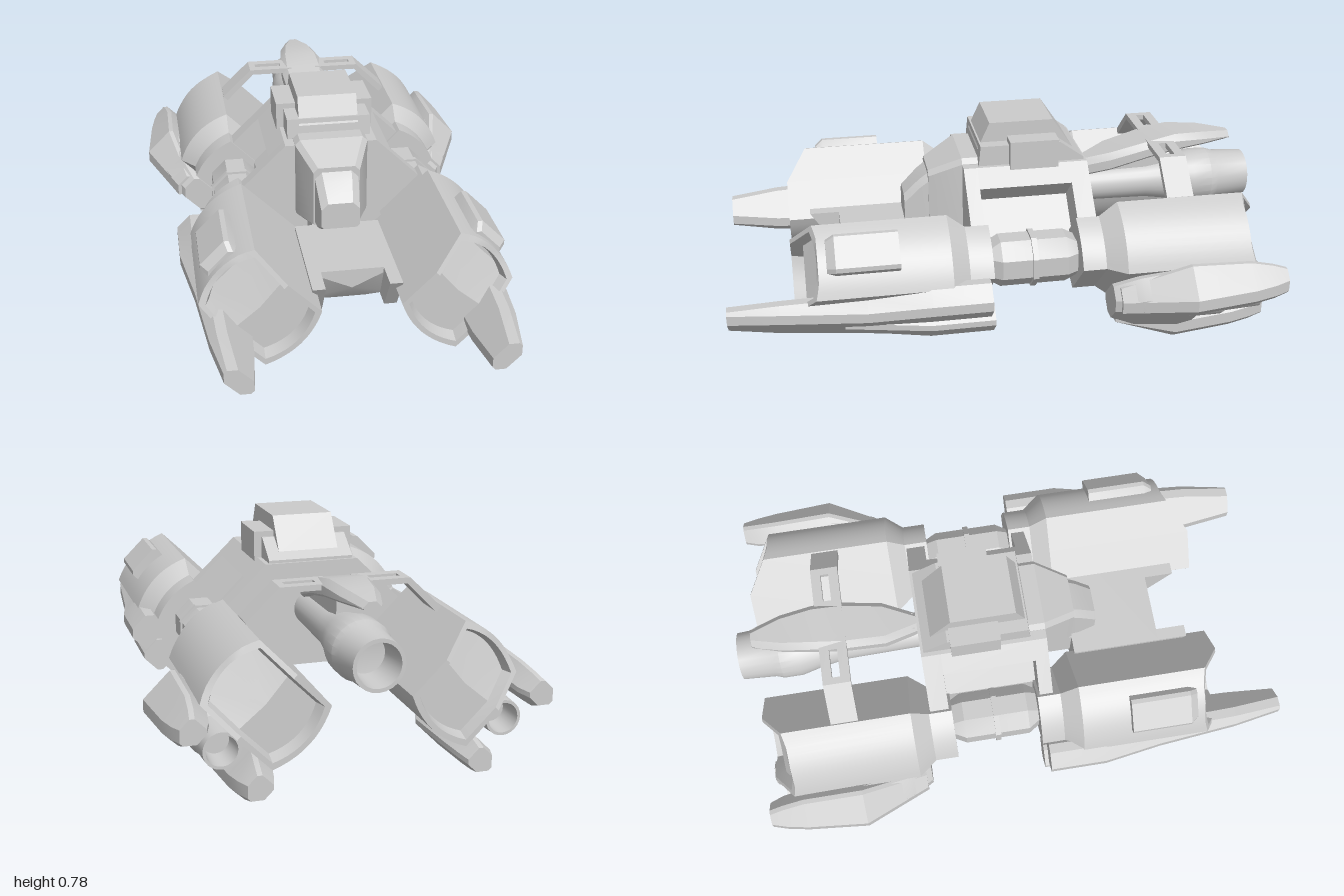
import * as THREE from 'three';
import { toCreasedNormals } from 'three/addons/utils/BufferGeometryUtils.js';

const material = new THREE.MeshStandardMaterial({ color: 0xcccccc, side: THREE.DoubleSide });

// Skin a list of rings (each a counter-clockwise loop of [x, y, z]) and cap both ends
function loft(rings) {
  if (rings[0][0][2] > rings[rings.length - 1][0][2]) rings = [...rings].reverse();
  const n = rings[0].length, pos = [], index = [];
  rings.forEach(r => r.forEach(p => pos.push(...p)));
  for (let r = 0; r < rings.length - 1; r++) {
    for (let i = 0; i < n; i++) {
      const j = (i + 1) % n, a = r * n, b = a + n;
      index.push(a + i, a + j, b + j, a + i, b + j, b + i);
    }
  }
  [0, rings.length - 1].forEach((r, end) => {
    const c = pos.length / 3;
    const mid = k => {
      const a = rings[r].map(p => p[k]);
      return (Math.min(...a) + Math.max(...a)) / 2;
    };
    const zs = rings[r].map(p => p[2]);
    pos.push(mid(0), mid(1), end ? Math.max(...zs) : Math.min(...zs));
    for (let i = 0; i < n; i++) {
      const a = r * n + i, b = r * n + (i + 1) % n;
      index.push(c, end ? a : b, end ? b : a);
    }
  });
  const g = new THREE.BufferGeometry();
  g.setAttribute('position', new THREE.Float32BufferAttribute(pos, 3));
  g.setIndex(index);
  return g;
}

// Rectangle with cut corners: cl at the low side, ch at the high side
function section([z, x0, x1, y0, y1], cl, ch = cl) {
  return [[x0 + cl, y0, z], [x1 - cl, y0, z], [x1, y0 + cl, z], [x1, y1 - ch, z],
    [x1 - ch, y1, z], [x0 + ch, y1, z], [x0, y1 - ch, z], [x0, y0 + cl, z]];
}
const sections = (list, cl, ch) => loft(list.map(s => section(s, cl, ch)));

// Outline extruded between two z positions
function extrude(points, z0, z1) {
  const shape = new THREE.Shape(points.map(p => new THREE.Vector2(...p)));
  return new THREE.ExtrudeGeometry(shape, { depth: z1 - z0, bevelEnabled: false }).translate(0, 0, z0);
}
const box = (x0, x1, y0, y1, z0, z1) => new THREE.BoxGeometry(x1 - x0, y1 - y0, z1 - z0)
  .translate((x0 + x1) / 2, (y0 + y1) / 2, (z0 + z1) / 2);
// Side profile [z, y] extruded across the width
const across = (profile, x0, x1) => extrude(profile, -x1, -x0).rotateY(-Math.PI / 2);
// Turned part along the z axis, profile given as [radius, z]
const turned = (profile, x, y, sides = 24) => new THREE.LatheGeometry(
  profile.map(([r, z]) => new THREE.Vector2(r, -z)), sides).rotateX(-Math.PI / 2).translate(x, y, 0);

// Pod outline: two bowed sides and two flat sides
const U = 0.475;
function podRing(z, hu, hv, bow, slant) {
  const pts = [], n = 10;
  for (const s of [1, -1]) {
    for (let i = 0; i <= n; i++) {
      const t = (2 * i / n - 1) * s;
      pts.push([U + s * (hu + bow * (1 - t * t)), hv * t]);
    }
    pts.push([U + 0.01, s * hv]);
  }
  return pts.map(([u, v]) => [u, v,
    z - (slant ? 0.09 * THREE.MathUtils.clamp((u - U - 0.01) / 0.16, 0, 1) : 0)]);
}

export function createModel() {
  const root = new THREE.Group();
  const add = (name, geo) => {
    const mesh = new THREE.Mesh(toCreasedNormals(geo, 0.4), material);
    mesh.name = name;
    root.add(mesh);
  };
  const addPair = (name, geo) => {
    add(name + 'Left', geo);
    const flipped = (geo.index ? geo.toNonIndexed() : geo.clone()).scale(-1, 1, 1);
    const order = [];
    for (let i = 0; i < flipped.attributes.position.count; i += 3) order.push(i, i + 2, i + 1);
    flipped.setIndex(order);
    add(name + 'Right', flipped);
  };
  // Side parts are drawn upright, then tilted 45 degrees about the long axis
  const addTilted = (name, geo) => addPair(name, geo.rotateZ(Math.PI / 4));

  // Front and rear pods share one shape, mirrored about z = -0.09
  const podRings = [
    podRing(0.07, 0.11, 0.1, 0.02), podRing(0.155, 0.11, 0.1, 0.02),
    podRing(0.22, 0.148, 0.136, 0.034), podRing(0.77, 0.148, 0.136, 0.034, true),
    podRing(0.77, 0.132, 0.119, 0.032, true), podRing(0.725, 0.122, 0.109, 0.03, true)];
  addTilted('frontPod', loft(podRings));
  addTilted('rearPod', loft(podRings.map(r => r.map(([x, y, z]) => [x, y, -0.18 - z]))));
  addTilted('podHatch', sections([
    [0.40, 0.6, 0.69, -0.06, 0.08], [0.62, 0.6, 0.69, -0.06, 0.08],
    [0.65, 0.6, 0.665, -0.05, 0.07]], 0.012));

  // Coupling between the pods
  addTilted('coupling', sections([
    [-0.27, U - 0.065, U + 0.065, -0.065, 0.065], [-0.21, U - 0.088, U + 0.088, -0.088, 0.088],
    [0.03, U - 0.088, U + 0.088, -0.088, 0.088], [0.08, U - 0.065, U + 0.065, -0.065, 0.065]], 0.05));
  addTilted('couplingRib', sections([
    [-0.1, U - 0.096, U + 0.096, -0.096, 0.096],
    [-0.08, U - 0.096, U + 0.096, -0.096, 0.096]], 0.054));

  // Front blades under the pods
  addTilted('blade', sections([
    [0.09, 0.32, 0.625, -0.22, -0.1], [0.3, 0.32, 0.625, -0.22, -0.1],
    [0.52, 0.38, 0.58, -0.21, -0.1], [0.82, 0.395, 0.565, -0.185, -0.1],
    [1.0, 0.42, 0.54, -0.165, -0.1]], 0.025));
  addTilted('bladeSpine', sections([
    [0.075, 0.43, 0.53, -0.25, -0.15], [0.3, 0.43, 0.53, -0.25, -0.15],
    [0.6, 0.45, 0.51, -0.21, -0.15]], 0.015));

  // Rear nacelles: wedge body, two prongs, nozzle between them
  const C = 0.473;
  addTilted('nacelleBody', sections([
    [-0.36, 0.4, 0.54, -0.24, -0.14], [-0.45, 0.34, 0.6, -0.265, -0.135],
    [-0.62, 0.29, 0.65, -0.275, -0.13], [-0.68, 0.31, 0.63, -0.265, -0.13]], 0.03, 0.015));
  for (const s of [-1, 1]) {
    const ring = (z, near, far, v0, v1) =>
      [z, ...[C + s * near, C + s * far].sort((a, b) => a - b), v0, v1];
    addTilted('nacelleProng', sections([
      ring(-0.38, 0.03, 0.09, -0.255, -0.16), ring(-0.62, 0.1, 0.202, -0.30, -0.13),
      ring(-0.84, 0.1, 0.195, -0.28, -0.135), ring(-0.92, 0.1, 0.19, -0.265, -0.15),
      ring(-0.97, 0.11, 0.185, -0.25, -0.165)], 0.03, 0.012));
  }
  addTilted('nacelleNozzle', turned([
    [0, -0.62], [0.078, -0.64], [0.078, -0.76], [0.068, -0.78], [0.062, -0.91],
    [0.052, -0.91], [0.045, -0.82], [0, -0.82]], 0.48, -0.195));

  // Main hull with recessed shoulders between two end frames
  const half = {
    frame: [[0.17, 0.63], [0.35, 0.455], [0.35, 0.38], [0.24, 0.28], [0.1, 0.25]],
    recess: [[0.17, 0.63], [0.23, 0.572], [0.145, 0.49], [0.25, 0.385], [0.25, 0.3], [0.1, 0.25]],
  };
  const hull = (kind, z0, z1) => {
    const h = half[kind];
    return extrude([...h, ...[...h].reverse().map(([x, y]) => [-x, y])], z0, z1);
  };
  add('rearFrame', hull('frame', -0.33, -0.26));
  add('midHull', hull('recess', -0.26, 0.08));
  add('frontFrame', hull('frame', 0.08, 0.13));

  // Keel between the front pods with an undercut, notched front
  const keelRing = (z, low, w, lean = 0) => [[-0.06, low, z - lean], [0.06, low, z - lean],
    [w, 0.222, z - lean], [w, 0.36, z], [-w, 0.36, z], [-w, 0.222, z - lean]];
  add('keelNeck', loft([keelRing(0.1, 0.19, 0.09), keelRing(0.25, 0.172, 0.09)]));
  add('keelPlate', loft([keelRing(0.25, 0.172, 0.155), keelRing(0.4, 0.172, 0.155, 0.03),
    keelRing(0.58, 0.215, 0.155, 0.06)]));
  addPair('keelProng', across([[0.5, 0.36], [0.5, 0.222], [0.6, 0.222], [0.69, 0.36]], 0.11, 0.155));

  // Cockpit and nose
  add('cockpit', sections([
    [0.06, -0.135, 0.135, 0.34, 0.65], [0.13, -0.135, 0.135, 0.34, 0.65],
    [0.25, -0.085, 0.085, 0.35, 0.59]], 0.012, 0.018));
  add('nose', sections([
    [0.24, -0.08, 0.08, 0.36, 0.58], [0.28, -0.077, 0.077, 0.36, 0.55],
    [0.34, -0.07, 0.07, 0.39, 0.49]], 0.01, 0.025));

  // Cabin
  add('cabinBase', across([[0.075, 0.6], [0.065, 0.705], [-0.23, 0.705], [-0.32, 0.64], [-0.32, 0.6]], -0.155, 0.155));
  add('cabinTop', across([[0.07, 0.68], [0.025, 0.778], [-0.21, 0.778], [-0.29, 0.66]], -0.11, 0.11));
  add('cabinSides', box(-0.182, 0.182, 0.6, 0.725, -0.22, -0.04));

  // Tail fin with slotted braces to the rear pods
  add('tailFin', sections([
    [-0.33, -0.035, 0.035, 0.5, 0.565], [-0.45, -0.08, 0.08, 0.54, 0.605],
    [-0.6, -0.09, 0.09, 0.585, 0.645], [-0.7, -0.085, 0.085, 0.605, 0.665],
    [-0.82, -0.068, 0.068, 0.615, 0.66], [-0.93, -0.035, 0.035, 0.62, 0.645]], 0.008, 0.022));
  add('finPylon', across([[-0.34, 0.5], [-0.34, 0.56], [-0.55, 0.61], [-0.68, 0.62], [-0.68, 0.5]], -0.03, 0.03));
  for (const z of [-0.69, -0.625]) addPair('braceBar', box(0.05, 0.2, 0.625, 0.645, z, z + 0.035));
  addPair('braceRoot', box(0.05, 0.095, 0.625, 0.645, -0.66, -0.62));
  addPair('braceArm', extrude(
    [[0.2, 0.645], [0.225, 0.645], [0.34, 0.535], [0.34, 0.51], [0.32, 0.52], [0.215, 0.625], [0.2, 0.625]],
    -0.69, -0.59));

  // Central engine
  add('engine', turned([
    [0, -0.3], [0.065, -0.3], [0.07, -0.6], [0.085, -0.7], [0.105, -0.78], [0.105, -0.85], [0.095, -0.88],
    [0.088, -1.0], [0.075, -1.0], [0.065, -0.88], [0, -0.87]], 0, 0.46));
  return root;
}
